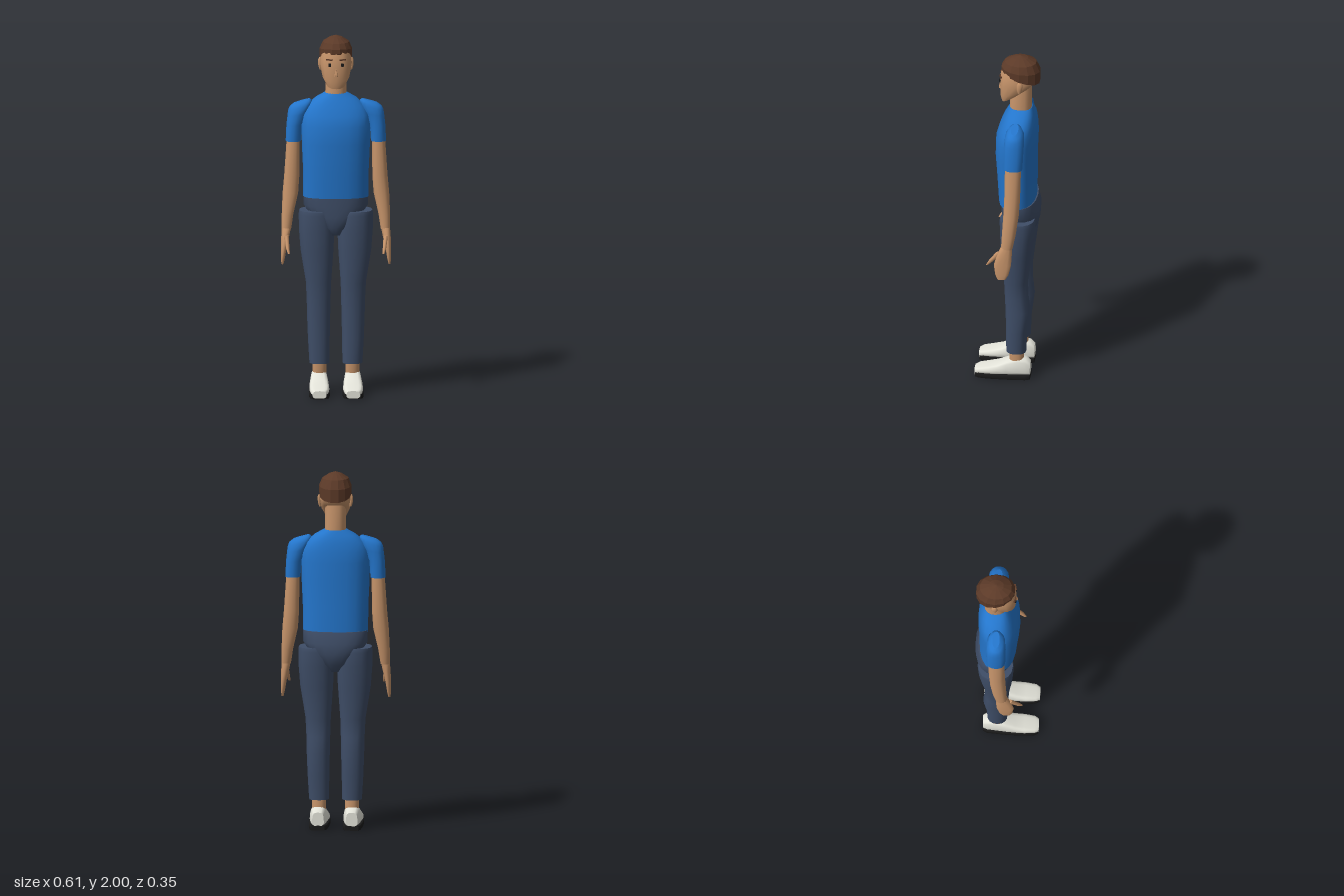
import * as THREE from 'three';

const mat = (name, color) => {
  const m = new THREE.MeshStandardMaterial({ color });
  m.name = name;
  return m;
};

// Stacked superellipse rings, bottom to top: [y, x, z, radiusX, radiusZ, slopeX, slopeZ]
function loft(rings, n = 16, p = 2.3) {
  const pos = [], idx = [];
  const pow = (v) => Math.sign(v) * Math.pow(Math.abs(v), 2 / p);
  const addRing = ([y, cx, cz, rx, rz, sx = 0, sz = 0]) => {
    const start = pos.length / 3;
    for (let i = 0; i < n; i++) {
      const a = (i / n) * Math.PI * 2;
      const dx = rx * pow(Math.cos(a)), dz = rz * pow(Math.sin(a));
      pos.push(cx + dx, y + sx * dx + sz * dz, cz + dz);
    }
    return start;
  };
  const starts = rings.map(addRing);
  for (let j = 0; j < rings.length - 1; j++) {
    for (let i = 0; i < n; i++) {
      const k = (i + 1) % n, a = starts[j], b = starts[j + 1];
      idx.push(a + i, b + i, a + k, a + k, b + i, b + k);
    }
  }
  // caps own their vertices so the rim stays sharp
  for (const top of [false, true]) {
    const r = top ? rings[rings.length - 1] : rings[0];
    const s = addRing(r), c = pos.length / 3;
    pos.push(r[1], r[0], r[2]);
    for (let i = 0; i < n; i++) {
      const k = (i + 1) % n;
      if (top) idx.push(c, s + k, s + i);
      else idx.push(c, s + i, s + k);
    }
  }
  const g = new THREE.BufferGeometry();
  g.setAttribute('position', new THREE.Float32BufferAttribute(pos, 3));
  g.setIndex(idx);
  g.computeVertexNormals();
  return g;
}

function flat(g) {
  const f = g.toNonIndexed();
  f.computeVertexNormals();
  return f;
}

// Sections running heel to toe: [z, x, halfWidth, bottom, top]
function footLoft(sections, p, taper) {
  const g = loft(sections.map(([z, x, w, y0, y1]) => [z, x, -(y0 + y1) / 2, w, (y1 - y0) / 2]), 16, p);
  g.rotateX(Math.PI / 2);
  const a = g.attributes.position, cx = sections[0][1];
  for (let i = 0; i < a.count; i++) a.setX(i, cx + (a.getX(i) - cx) * (1 - taper * a.getY(i)));
  g.computeVertexNormals();
  return g;
}

export function createModel() {
  const skin = mat('skin', 0xc8956b), hair = mat('hair', 0x5c3a28), shirt = mat('shirt blue', 0x2476cc);
  const denim = mat('trouser navy', 0x3f4e68), white = mat('shoe white', 0xe4e4da);
  const black = mat('sole black', 0x1a1a1a);

  const model = new THREE.Group();
  model.name = 'standingMan';
  const add = (name, geometry, material, parent = model) => {
    const m = new THREE.Mesh(geometry, material);
    m.name = name;
    parent.add(m);
    return m;
  };

  // Trunk
  add('shirtBody', loft([
    [1.10, 0, -0.05, 0.18, 0.103], [1.25, 0, -0.046, 0.181, 0.108], [1.40, 0, -0.042, 0.188, 0.114],
    [1.50, 0, -0.045, 0.19, 0.115], [1.56, 0, -0.052, 0.185, 0.105], [1.61, 0, -0.06, 0.16, 0.092],
    [1.65, 0, -0.064, 0.115, 0.077], [1.68, 0, -0.066, 0.06, 0.062],
  ], 20), shirt);
  add('pelvis', loft([
    [0.885, 0, -0.055, 0.036, 0.055], [0.93, 0, -0.062, 0.08, 0.095], [0.99, 0, -0.067, 0.14, 0.106],
    [1.05, 0, -0.068, 0.178, 0.108], [1.115, 0, -0.06, 0.178, 0.1],
  ], 20), denim);

  // Head
  add('neck', loft([[1.62, 0, -0.065, 0.06, 0.06], [1.70, 0, -0.065, 0.058, 0.062], [1.82, 0, -0.07, 0.058, 0.056]]), skin);
  add('head', loft([
    [1.745, 0, -0.012, 0.054, 0.052, 0, -0.6], [1.79, 0, -0.038, 0.078, 0.088, 0, -0.38],
    [1.845, 0, -0.049, 0.088, 0.101, 0, -0.08], [1.89, 0, -0.053, 0.086, 0.1], [1.94, 0, -0.055, 0.075, 0.088],
  ], 16, 2.4), skin);
  add('hair', flat(loft([
    [1.875, 0, -0.064, 0.089, 0.108, 0, 0.31], [1.925, 0, -0.065, 0.09, 0.109, 0, 0.1],
    [1.965, 0, -0.063, 0.073, 0.089], [1.99, 0, -0.062, 0.035, 0.043], [2.0, 0, -0.061, 0.004, 0.005],
  ], 14, 2.1)), hair);
  add('nose', flat(loft([
    [1.785, 0, 0.046, 0.011, 0.013], [1.795, 0, 0.046, 0.01, 0.014], [1.83, 0, 0.044, 0.005, 0.009],
  ], 6, 2)), skin);

  for (const s of [-1, 1]) {
    const side = s > 0 ? 'left' : 'right';
    const group = (part) => {
      const g = new THREE.Group();
      g.name = side + part;
      model.add(g);
      return g;
    };
    // mirrors ring centres and sideways slopes
    const m = (rings) => rings.map(([y, x, z, rx, rz, sx = 0, sz = 0]) => [y, s * x, z, rx, rz, s * sx, sz]);

    // Face details
    const face = group('Face');
    const eye = add('eye', new THREE.BoxGeometry(0.014, 0.016, 0.009), black, face);
    eye.position.set(s * 0.035, 1.85, 0.047);
    eye.rotation.y = s * 0.2;
    const brow = add('brow', new THREE.BoxGeometry(0.036, 0.007, 0.009), hair, face);
    brow.position.set(s * 0.037, 1.879, 0.044);
    brow.rotation.set(0, s * 0.25, s * 0.06);
    add('ear', loft(m([
      [1.805, 0.084, -0.066, 0.006, 0.008], [1.83, 0.088, -0.067, 0.009, 0.015],
      [1.86, 0.089, -0.069, 0.009, 0.017], [1.873, 0.087, -0.07, 0.006, 0.011],
    ]), 8, 2), skin, face);

    // Arm
    const arm = group('Arm');
    add('sleeve', loft(m([
      [1.41, 0.235, -0.053, 0.042, 0.051], [1.50, 0.23, -0.054, 0.043, 0.054, -0.05],
      [1.56, 0.213, -0.055, 0.054, 0.055, -0.15], [1.60, 0.197, -0.055, 0.066, 0.051, -0.25],
      [1.622, 0.193, -0.055, 0.06, 0.038, -0.28], [1.634, 0.188, -0.055, 0.044, 0.02, -0.28],
    ])), shirt, arm);
    add('bareArm', loft(m([
      [0.92, 0.273, -0.022, 0.026, 0.032], [1.0, 0.267, -0.032, 0.032, 0.038],
      [1.12, 0.251, -0.043, 0.043, 0.043], [1.22, 0.243, -0.048, 0.042, 0.044], [1.43, 0.235, -0.052, 0.036, 0.045],
    ])), skin, arm);
    add('hand', loft(m([
      [0.73, 0.295, 0.005, 0.006, 0.022], [0.76, 0.293, 0.003, 0.011, 0.037], [0.82, 0.288, 0, 0.016, 0.048],
      [0.88, 0.28, -0.01, 0.022, 0.041], [0.93, 0.273, -0.021, 0.025, 0.03],
    ]), 12), skin, arm);
    add('thumb', loft(m([
      [0.80, 0.261, 0.089, 0.006, 0.006], [0.83, 0.267, 0.066, 0.01, 0.014], [0.89, 0.274, 0.018, 0.012, 0.02],
    ]), 8), skin, arm);

    // Leg
    const leg = group('Leg');
    add('trouserLeg', loft(m([
      [0.165, 0.091, -0.051, 0.055, 0.056], [0.30, 0.094, -0.053, 0.06, 0.059], [0.43, 0.095, -0.06, 0.064, 0.069],
      [0.52, 0.095, -0.053, 0.066, 0.066], [0.62, 0.096, -0.05, 0.07, 0.067], [0.80, 0.104, -0.053, 0.091, 0.086],
      [0.92, 0.106, -0.058, 0.098, 0.096], [1.0, 0.109, -0.06, 0.096, 0.1], [1.022, 0.113, -0.06, 0.089, 0.096],
    ])), denim, leg);
    add('ankle', loft(m([[0.09, 0.091, -0.055, 0.038, 0.04], [0.20, 0.091, -0.05, 0.04, 0.042]])), skin, leg);

    // Shoe
    const shoe = group('Shoe'), x = s * 0.093;
    add('shoeUpper', footLoft([
      [-0.13, x, 0.037, 0.024, 0.1], [-0.105, x, 0.05, 0.024, 0.123], [-0.06, x, 0.056, 0.024, 0.13],
      [0, x, 0.06, 0.024, 0.108], [0.05, x, 0.061, 0.024, 0.083], [0.10, x, 0.061, 0.024, 0.068],
      [0.155, x, 0.054, 0.024, 0.055], [0.178, x, 0.039, 0.004, 0.046],
    ], 3.5, 2.2), white, shoe);
    add('sole', footLoft([
      [-0.13, x, 0.037, 0, 0.028], [-0.105, x, 0.049, 0, 0.028], [0, x, 0.057, 0, 0.028],
      [0.10, x, 0.058, 0, 0.028], [0.155, x, 0.053, 0, 0.028], [0.174, x, 0.042, 0, 0.028],
    ], 10, 0), black, shoe);
  }
  return model;
}
